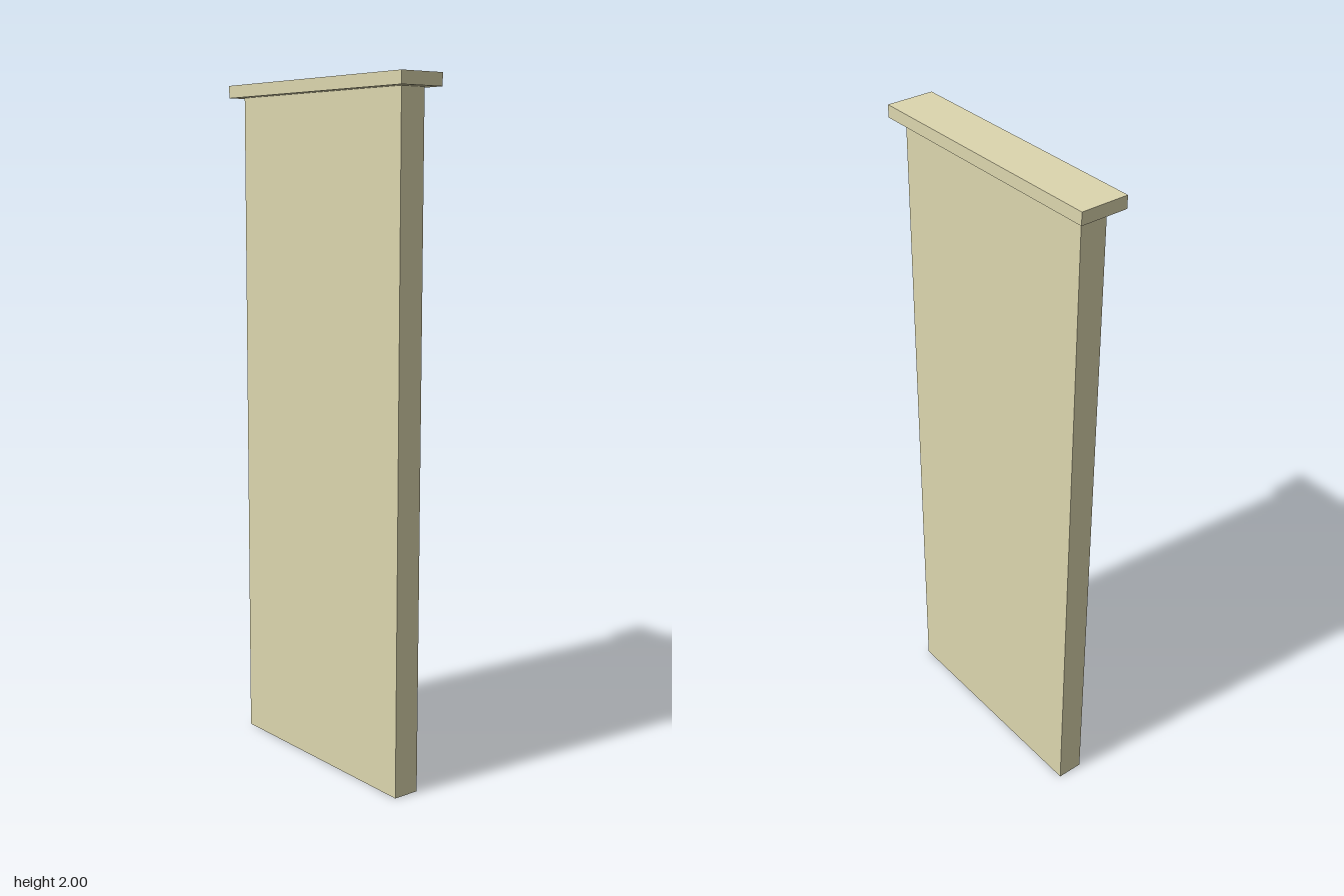
import * as THREE from 'three';

const HEIGHT = 2;
const CAP_HEIGHT = 0.036;

export function createModel() {
  const group = new THREE.Group();
  group.name = 'cappedWallPanel';
  const material = new THREE.MeshStandardMaterial({ color: 0xdcd6ae });

  // Adds a box standing on the given height
  const addBox = (name, width, height, depth, bottom) => {
    const mesh = new THREE.Mesh(new THREE.BoxGeometry(width, height, depth), material);
    mesh.name = name;
    mesh.position.y = bottom + height / 2;
    group.add(mesh);
  };

  // Upright slab
  addBox('wallPanel', 0.714, HEIGHT - CAP_HEIGHT, 0.08, 0);
  // Overhanging coping along the top
  addBox('topCap', 0.786, CAP_HEIGHT, 0.142, HEIGHT - CAP_HEIGHT);

  return group;
}
